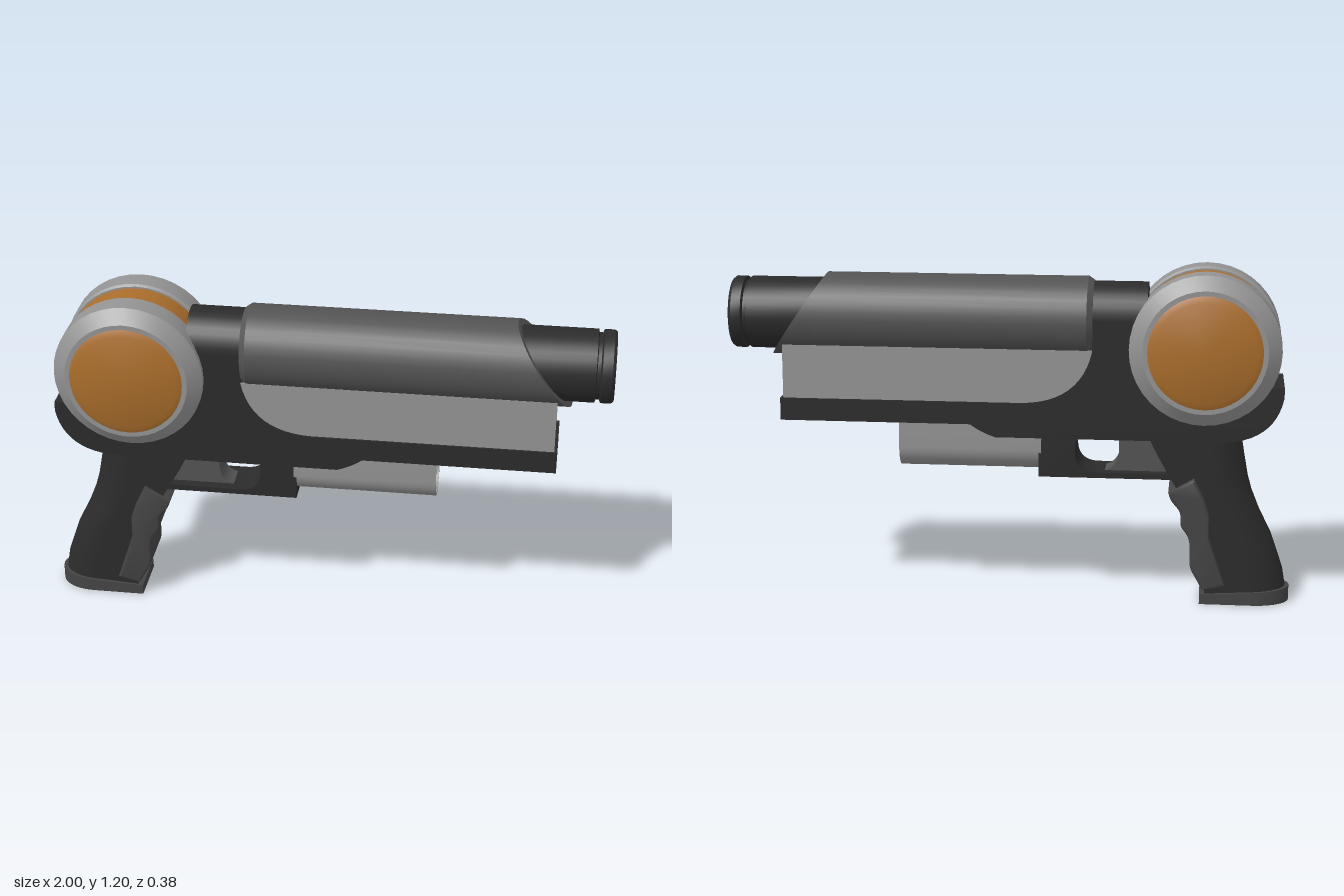
import * as THREE from 'three';
import { toCreasedNormals } from 'three/addons/utils/BufferGeometryUtils.js';

const mat = (name, color) => new THREE.MeshStandardMaterial({ name, color });

export function createModel() {
  const black = mat('black', 0x2b2b2b);
  const shroudGrey = mat('shroud grey', 0x535353);
  const padGrey = mat('pad grey', 0x444444);
  const lightGrey = mat('light grey', 0x949494);
  const orange = mat('orange', 0xab6e2c);

  const model = new THREE.Group();
  model.name = 'toyBlaster';
  const add = (name, geometry, material, x = 0, y = 0, z = 0) => {
    const mesh = new THREE.Mesh(geometry, material);
    mesh.name = name;
    mesh.position.set(x, y, z);
    model.add(mesh);
    return mesh;
  };
  const poly = (pts) => new THREE.Shape(pts.map(([x, y]) => new THREE.Vector2(x, y)));
  // side profile extruded evenly to both sides of z = 0
  const slab = (shape, half, bevel = 0) => {
    const g = new THREE.ExtrudeGeometry(shape, {
      depth: 2 * (half - bevel), bevelEnabled: bevel > 0, bevelSize: bevel,
      bevelThickness: bevel, bevelOffset: -bevel, bevelSegments: 2, curveSegments: 12,
    });
    g.translate(0, 0, -(half - bevel));
    return toCreasedNormals(g, 0.5);
  };
  const lathe = (pts, sides = 32) =>
    toCreasedNormals(new THREE.LatheGeometry(pts.map(([r, y]) => new THREE.Vector2(r, y)), sides), 0.5);

  // main frame, with its curved tail and long lower rail
  const frame = new THREE.Shape();
  frame.moveTo(-0.96, 0.805);
  frame.lineTo(-0.96, 0.77);
  frame.quadraticCurveTo(-0.93, 0.61, -0.74, 0.605);
  frame.lineTo(0.05, 0.605);
  frame.quadraticCurveTo(0.1, 0.62, 0.14, 0.65);
  frame.lineTo(0.82, 0.65);
  frame.lineTo(0.82, 0.73);
  frame.lineTo(-0.04, 0.73);
  frame.quadraticCurveTo(-0.25, 0.735, -0.29, 0.92);
  frame.lineTo(-0.29, 1.03);
  frame.lineTo(-0.48, 1.03);
  frame.lineTo(-0.6, 0.8);
  frame.lineTo(-0.88, 0.805);
  add('frame', slab(frame, 0.12), black);
  const dome = new THREE.CylinderGeometry(0.12, 0.12, 0.2, 32).rotateZ(-Math.PI / 2);
  add('frameDome', dome, black, -0.38, 1.03);

  // core under the barrel and its light side panels
  add('barrelCore', new THREE.BoxGeometry(1.1, 0.22, 0.208), black, 0.255, 0.82);
  for (const s of [1, -1]) {
    add(s > 0 ? 'frontPanel' : 'backPanel', new THREE.BoxGeometry(1.11, 0.2, 0.01), lightGrey, 0.255, 0.822, s * 0.108);
  }

  // barrel shroud with a slanted front end
  const axisY = 1.018, R = 0.148;
  const shroud = new THREE.CylinderGeometry(R, R, 1, 32).rotateZ(-Math.PI / 2);
  const p = shroud.attributes.position, n = shroud.attributes.normal;
  const slant = 0.68;
  const capNormal = new THREE.Vector3(1, slant, 0).normalize();
  for (let i = 0; i < p.count; i++) {
    if (n.getX(i) > 0.9) n.setXYZ(i, capNormal.x, capNormal.y, 0);
    p.setX(i, p.getX(i) > 0 ? 0.66 + (R - p.getY(i)) * slant : -0.27);
  }
  add('barrelShroud', shroud, shroudGrey, 0, axisY);
  const rim = new THREE.CylinderGeometry(R, 0.134, 0.02, 32).rotateZ(-Math.PI / 2);
  add('shroudRearRim', rim, shroudGrey, -0.28, axisY);

  // muzzle and hollow bore
  const muzzle = lathe([[0.128, 0.6], [0.128, 0.935], [0.116, 0.938], [0.116, 0.95], [0.128, 0.955],
    [0.128, 0.99], [0.12, 1], [0.105, 1]]).rotateZ(-Math.PI / 2);
  add('muzzle', muzzle, black, 0, axisY);
  const bore = lathe([[0.105, 1], [0.105, 0.72], [0, 0.72]]).rotateZ(-Math.PI / 2);
  add('bore', bore, padGrey, 0, axisY);

  // twin drums around an orange hub
  const drumX = -0.683, drumY = 0.935;
  add('drumHub', new THREE.CylinderGeometry(0.252, 0.252, 0.12, 40).rotateX(Math.PI / 2), orange, drumX, drumY);
  for (const s of [1, -1]) {
    const side = s > 0 ? 'front' : 'back';
    const turn = s > 0 ? 0 : Math.PI;
    const drum = lathe([[0.2, 0.05], [0.258, 0.05], [0.265, 0.058], [0.265, 0.14], [0.217, 0.18],
      [0.2, 0.18], [0.2, 0.165]], 40).rotateX(Math.PI / 2).rotateY(turn);
    add(side + 'Drum', drum, lightGrey, drumX, drumY);
    const cap = lathe([[0.2, 0.165], [0.2, 0.18], [0.178, 0.19], [0, 0.19]], 40).rotateX(Math.PI / 2).rotateY(turn);
    add(side + 'DrumCap', cap, orange, drumX, drumY);
  }

  // open U-shaped tube under the rail
  const u = new THREE.Shape();
  u.moveTo(-0.083, 0.65);
  u.lineTo(-0.083, 0.553);
  u.absarc(0, 0.553, 0.083, Math.PI, 2 * Math.PI, false);
  u.lineTo(0.083, 0.65);
  u.lineTo(0.074, 0.65);
  u.absarc(0, 0.553, 0.074, 2 * Math.PI, Math.PI, true);
  u.lineTo(-0.074, 0.65);
  add('lowerTube', slab(u, 0.255).rotateY(Math.PI / 2), lightGrey, 0.145);

  // trigger guard and trigger
  const guard = poly([[-0.62, 0.455], [-0.1, 0.455], [-0.1, 0.62], [-0.62, 0.62]]);
  const hole = new THREE.Path();
  hole.moveTo(-0.58, 0.475);
  hole.lineTo(-0.3, 0.475);
  hole.quadraticCurveTo(-0.23, 0.48, -0.23, 0.55);
  hole.lineTo(-0.23, 0.585);
  hole.lineTo(-0.25, 0.605);
  hole.lineTo(-0.58, 0.605);
  guard.holes.push(hole);
  add('triggerGuard', slab(guard, 0.082), black);
  const trigger = new THREE.Shape();
  trigger.moveTo(-0.58, 0.47);
  trigger.lineTo(-0.335, 0.475);
  trigger.quadraticCurveTo(-0.385, 0.49, -0.385, 0.55);
  trigger.lineTo(-0.385, 0.61);
  trigger.lineTo(-0.58, 0.61);
  add('trigger', slab(trigger, 0.045), shroudGrey);

  // grip and its base plate: flat front, rounded back
  const loft = (rows, w, depth) => {
    const pos = [], idx = [];
    const ring = ([y, back, front, tilt = 0]) => {
      const pts = [[front, w], [front, -w], [front, -w]];
      for (let k = 0; k <= 14; k++) {
        const a = (k / 14 - 0.5) * Math.PI;
        pts.push([back + depth * (1 - Math.cos(a)), w * Math.sin(a)]);
      }
      pts.push([front, w]);
      const start = pos.length / 3;
      pts.forEach(([x, z]) => pos.push(x, y + tilt * (front - x), z));
      return [start, pts.length];
    };
    const starts = rows.map((r) => ring(r)[0]);
    for (let i = 0; i + 1 < starts.length; i++) {
      const m = starts[1] - starts[0];
      for (let j = 0; j + 1 < m; j++) {
        const a = starts[i] + j, d = starts[i + 1] + j;
        idx.push(a, a + 1, d + 1, a, d + 1, d);
      }
    }
    [rows[0], rows[rows.length - 1]].forEach((row, top) => {
      const [s, m] = ring(row);
      for (let j = 1; j + 1 < m; j++) idx.push(s, s + (top ? j : j + 1), s + (top ? j + 1 : j));
    });
    const g = new THREE.BufferGeometry();
    g.setAttribute('position', new THREE.Float32BufferAttribute(pos, 3));
    g.setIndex(idx);
    g.computeVertexNormals();
    return g;
  };
  add('grip', loft([[0.03, -0.99, -0.7], [0.12, -0.975, -0.685], [0.25, -0.93, -0.665], [0.34, -0.885, -0.65],
    [0.41, -0.857, -0.6], [0.46, -0.843, -0.57], [0.54, -0.828, -0.525], [0.62, -0.815, -0.485]], 0.085, 0.12), black);
  add('gripBase', loft([[0, -1, -0.68], [0.036, -1, -0.68, 0.06]], 0.095, 0.13), padGrey);

  // finger pad wrapped round the front of the grip
  const pad = new THREE.Shape();
  pad.moveTo(-0.77, 0.07);
  pad.lineTo(-0.69, 0.053);
  pad.splineThru([[-0.672, 0.085], [-0.645, 0.14], [-0.643, 0.21], [-0.635, 0.25], [-0.61, 0.29],
    [-0.605, 0.34], [-0.575, 0.38], [-0.563, 0.41]].map(([x, y]) => new THREE.Vector2(x, y)));
  pad.lineTo(-0.655, 0.465);
  pad.lineTo(-0.69, 0.39);
  pad.lineTo(-0.71, 0.33);
  pad.lineTo(-0.71, 0.25);
  add('fingerPad', slab(pad, 0.102, 0.01), padGrey);

  return model;
}
